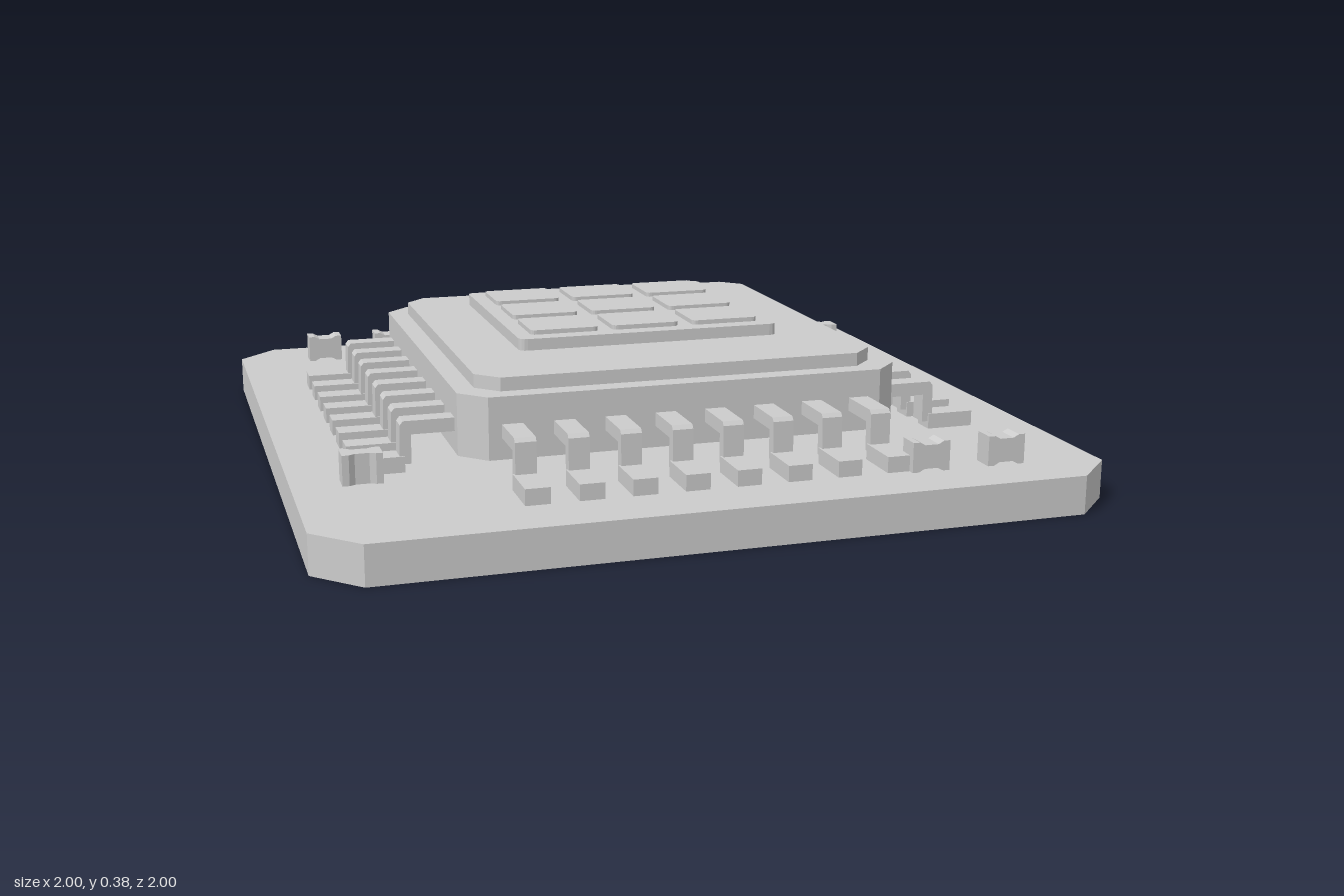
import * as THREE from 'three';

export function createModel() {
  const group = new THREE.Group();
  const grey = new THREE.MeshStandardMaterial({ color: 0xcccccc });
  grey.name = 'plain grey';

  const add = (name, geometry, parent = group) => {
    const mesh = new THREE.Mesh(geometry, grey);
    mesh.name = name;
    parent.add(mesh);
    return mesh;
  };
  const polygon = (points) => new THREE.Shape(points.map(([x, y]) => new THREE.Vector2(x, y)));
  const extrude = (shape, depth) =>
    new THREE.ExtrudeGeometry(shape, { depth, bevelEnabled: false, curveSegments: 4 });

  // Upright slab with cut or rounded corners, from y0 to y1
  const slab = (name, w, d, corner, y0, y1, x = 0, z = 0, round = false) => {
    const a = w / 2, b = d / 2, c = corner;
    const s = new THREE.Shape();
    const turn = (cx, cy, ex, ey) => (round ? s.quadraticCurveTo(cx, cy, ex, ey) : s.lineTo(ex, ey));
    s.moveTo(-a + c, -b);
    s.lineTo(a - c, -b); turn(a, -b, a, -b + c);
    s.lineTo(a, b - c); turn(a, b, a - c, b);
    s.lineTo(-a + c, b); turn(-a, b, -a, b - c);
    s.lineTo(-a, -b + c); turn(-a, -b, -a + c, -b);
    add(name, extrude(s, y1 - y0).rotateX(-Math.PI / 2).translate(x, y0, z));
  };

  // Board and stacked chip body
  slab('circuitBoard', 2, 2, 0.11, 0, 0.1);
  slab('chipBody', 1.17, 1.17, 0.065, 0.14, 0.3);
  slab('chipLid', 1.066, 1.066, 0.056, 0.3, 0.335);
  slab('diePlate', 0.722, 0.672, 0.022, 0.335, 0.366, -0.002, -0.075, true);

  // Nine raised cells on the die
  for (const x of [-0.228, -0.002, 0.225])
    for (const z of [-0.285, -0.077, 0.132])
      slab('dieCell', 0.186, 0.164, 0.015, 0.366, 0.378, x, z, true);

  // Gull-wing leads: bent arm plus a wider foot, eight per side
  const arm = polygon([[0.57, 0.195], [0.695, 0.195], [0.695, 0.12], [0.725, 0.12],
    [0.722, 0.22], [0.714, 0.23], [0.57, 0.23]]);
  const armGeometry = extrude(arm, 0.053).translate(0, 0, -0.0265);
  const footGeometry = new THREE.BoxGeometry(0.128, 0.042, 0.062).translate(0.776, 0.12, 0);
  for (let side = 0; side < 4; side++) {
    const row = new THREE.Group();
    row.name = 'leadRow';
    row.rotation.y = side * Math.PI / 2;
    for (let i = 0; i < 8; i++) {
      const lead = new THREE.Group();
      lead.name = 'lead';
      lead.position.z = (i - 3.5) * 0.1315;
      add('leadArm', armGeometry, lead);
      add('leadFoot', footGeometry, lead);
      row.add(lead);
    }
    group.add(row);
  }

  // Small waisted components, mirrored through the centre of the board
  const waisted = (h, dip) => polygon([
    [-0.05, -h], [-0.033, -h], [-0.018, -h + dip], [0.018, -h + dip], [0.033, -h], [0.05, -h],
    [0.05, h], [0.033, h], [0.018, h - dip], [-0.018, h - dip], [-0.033, h], [-0.05, h]]);
  const flat = extrude(waisted(0.029, 0.008), 0.077).rotateX(-Math.PI / 2).translate(0, 0.1, 0);
  const upright = extrude(waisted(0.0385, 0.008), 0.058).translate(0, 0.1385, -0.029);
  for (const s of [1, -1]) {
    add('sideComponent', flat).position.set(s * 0.827, 0, s * -0.537);
    add('edgeComponent', upright).position.set(s * 0.538, 0, s * 0.829);
    add('edgeComponent', upright).position.set(s * 0.745, 0, s * 0.829);
  }
  return group;
}
